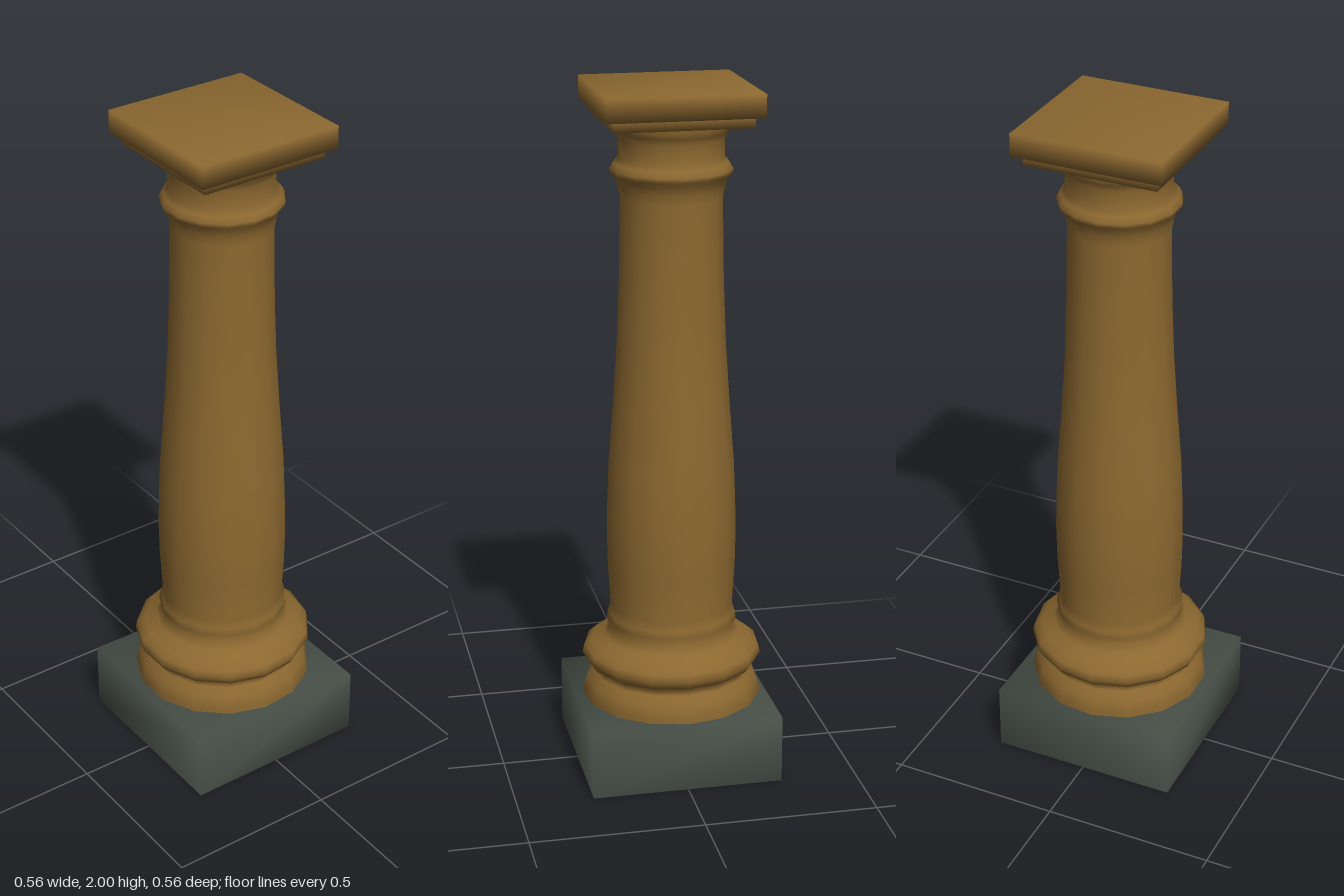
import * as THREE from 'three';
import { mergeVertices } from 'three/addons/utils/BufferGeometryUtils.js';

const stone = new THREE.MeshStandardMaterial({ name: 'ochre stone', color: 0x8c6830, side: THREE.DoubleSide });
const slate = new THREE.MeshStandardMaterial({ name: 'dark slate', color: 0x454d45, side: THREE.DoubleSide });

// Square block with softly shared normals, optionally open underneath
function block(name, material, half, y0, y1, cx, cz, open = false) {
  let geo = new THREE.BoxGeometry(half * 2, y1 - y0, half * 2);
  if (open) {
    const index = Array.from(geo.index.array);
    index.splice(18, 6); // drop the underside
    geo.setIndex(index);
  }
  geo.deleteAttribute('uv');
  geo.deleteAttribute('normal');
  geo = mergeVertices(geo);
  geo.computeVertexNormals();
  const mesh = new THREE.Mesh(geo, material);
  mesh.name = name;
  mesh.position.set(cx, (y0 + y1) / 2, cz);
  return mesh;
}

export function createModel() {
  const group = new THREE.Group();
  group.name = 'column';
  const cx = -0.007, cz = -0.003;

  // Turned part, [radius, height] from the foot inside the plinth to the neck
  const profile = [
    [0.262, 0.13], [0.262, 0.215], [0.252, 0.25], [0.232, 0.275], [0.222, 0.29],
    [0.25, 0.305], [0.263, 0.328], [0.258, 0.35], [0.235, 0.37], [0.2, 0.388],
    [0.184, 0.41], [0.19, 0.435], [0.188, 0.455], [0.179, 0.48],
    [0.186, 0.6], [0.188, 0.7], [0.186, 0.8], [0.181, 0.92], [0.167, 1.1],
    [0.155, 1.28], [0.148, 1.46], [0.144, 1.69],
    [0.15, 1.72], [0.156, 1.742], [0.17, 1.757], [0.173, 1.77], [0.163, 1.787], [0.149, 1.8],
    [0.148, 1.855], [0.16, 1.875], [0.167, 1.89], [0.168, 1.91],
  ].map(([r, y]) => new THREE.Vector2(r, y));
  const shaft = new THREE.Mesh(new THREE.LatheGeometry(profile, 15, Math.PI), stone);
  shaft.name = 'shaft';
  shaft.position.set(cx, 0, cz);

  group.add(
    block('plinth', slate, 0.278, 0, 0.2, 0, 0, true),
    shaft,
    block('capitalStep', stone, 0.194, 1.905, 1.94, -0.004, -0.002),
    block('abacus', stone, 0.218, 1.935, 2, -0.004, -0.002),
  );
  return group;
}
